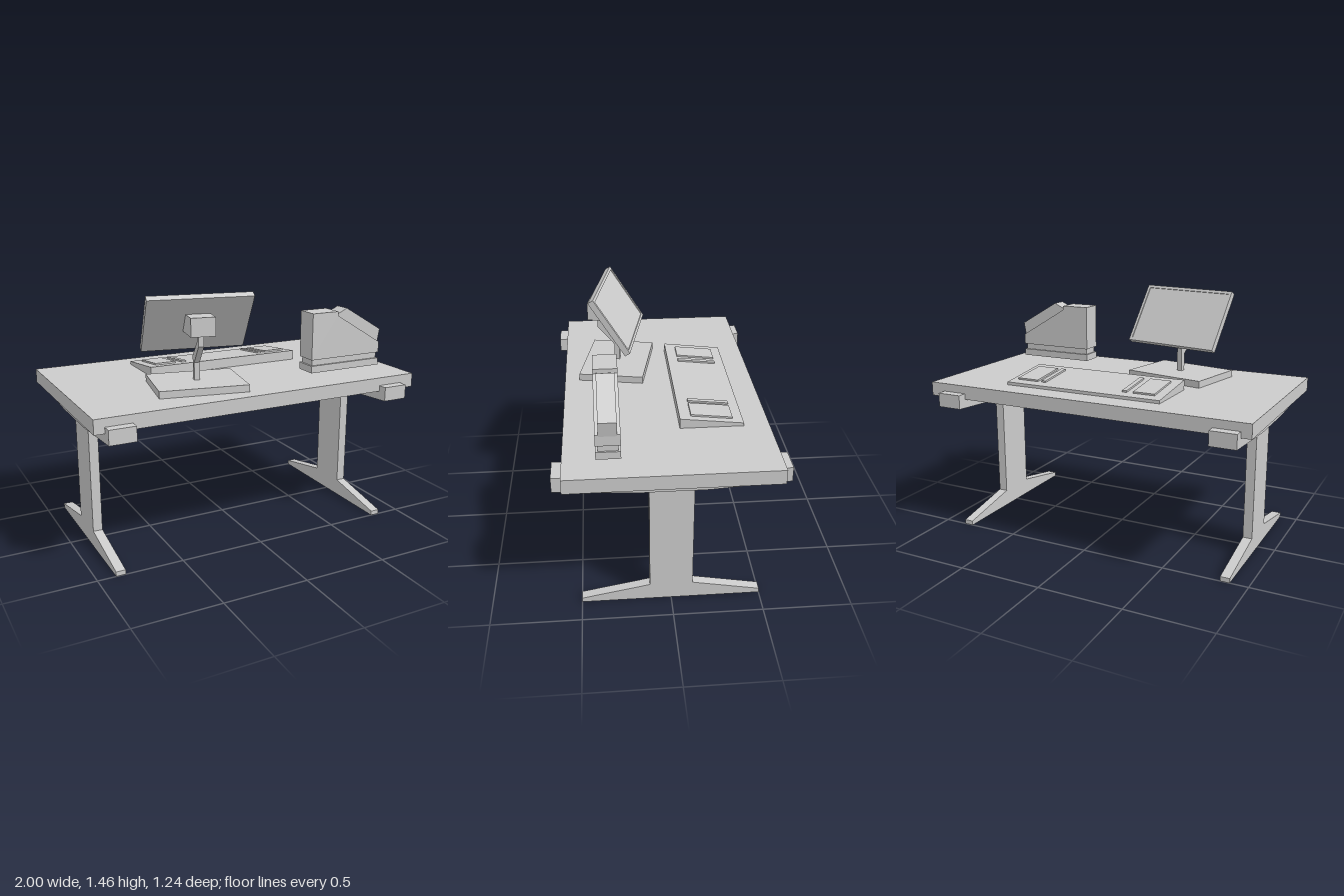
import * as THREE from 'three';

const mat = new THREE.MeshStandardMaterial({ color: 0xcccccc, flatShading: true });

function add(parent, name, geo, x = 0, y = 0, z = 0) {
  const mesh = new THREE.Mesh(geo, mat);
  mesh.name = name;
  mesh.position.set(x, y, z);
  parent.add(mesh);
  return mesh;
}

// Box given by its min/max along each axis
function box(parent, name, [x0, x1], [y0, y1], [z0, z1]) {
  return add(parent, name, new THREE.BoxGeometry(x1 - x0, y1 - y0, z1 - z0),
    (x0 + x1) / 2, (y0 + y1) / 2, (z0 + z1) / 2);
}

// Outline in (x, y), extruded along z and centred there
function slab(points, depth, hole) {
  const shape = new THREE.Shape(points.map(p => new THREE.Vector2(...p)));
  if (hole) shape.holes.push(new THREE.Path(hole.map(p => new THREE.Vector2(...p))));
  return new THREE.ExtrudeGeometry(shape, { depth, bevelEnabled: false }).translate(0, 0, -depth / 2);
}

// Outline in (z, y), extruded along x and centred there
const sideProfile = (points, width) => slab(points, width).rotateY(-Math.PI / 2);

// Mirror a half outline across z = 0
const mirrored = half => [...half, ...half.map(([z, y]) => [-z, y]).reverse()];

const rect = (w, h) => [[-w / 2, -h / 2], [w / 2, -h / 2], [w / 2, h / 2], [-w / 2, h / 2]];

function makeDesk() {
  const desk = new THREE.Group();
  desk.name = 'desk';
  box(desk, 'desktop', [-1, 1], [0.84, 0.922], [-0.565, 0.565]);
  const support = mirrored([[0.62, 0.875], [0.62, 0.792], [0.19, 0.762]]);
  const leg = mirrored([[0.12, 0.78], [0.12, 0.1], [0.5, 0.027], [0.5, 0]]);
  for (const [side, x] of [['right', -0.867], ['left', 0.833]]) {
    add(desk, side + 'Support', sideProfile(support, 0.15), x);
    add(desk, side + 'Leg', sideProfile(leg, 0.055), x);
  }
  return desk;
}

function makeKeyboard() {
  const keyboard = new THREE.Group();
  keyboard.name = 'keyboard';
  const body = [[-0.07, 0.922], [-0.07, 0.98], [-0.422, 0.94], [-0.422, 0.922]];
  add(keyboard, 'keyboardBody', sideProfile(body, 0.985), 0.057);
  // raised pads and strips lying on the slope
  for (const [x, w] of [[-0.315, 0.13], [-0.195, 0.028], [0.335, 0.028], [0.442, 0.135]]) {
    add(keyboard, 'keyPad', new THREE.BoxGeometry(w, 0.02, 0.232), x, 0.96, -0.248)
      .rotation.x = -Math.atan(0.04 / 0.352);
  }
  return keyboard;
}

function makeMonitor() {
  const monitor = new THREE.Group();
  monitor.name = 'monitor';
  monitor.position.set(-0.285, 0, 0.24);
  monitor.rotation.y = -0.19;
  box(monitor, 'monitorBase', [-0.255, 0.255], [0.922, 0.963], [-0.193, 0.193]);

  // cranked stand and the housing behind the screen
  const stand = [[-0.018, 0.95], [0.015, 0.95], [0.015, 1.065], [0.115, 1.175],
    [0.115, 1.25], [0.08, 1.25], [0.08, 1.195], [-0.018, 1.1]];
  add(monitor, 'monitorStand', sideProfile(stand, 0.032));
  const housing = [[0.165, 1.24], [0.165, 1.345], [0.04, 1.345], [-0.028, 1.24]];
  add(monitor, 'monitorHousing', sideProfile(housing, 0.14));

  // tilted panel, screen towards the keyboard
  const panel = new THREE.Group();
  panel.name = 'monitorPanel';
  panel.position.set(0.005, 1.29, -0.008);
  panel.rotation.x = 0.58;
  add(panel, 'panelFrame', slab(rect(0.6, 0.382), 0.036, rect(0.565, 0.347).reverse()));
  add(panel, 'screen', new THREE.BoxGeometry(0.565, 0.347, 0.031), 0, 0, 0.0025);
  monitor.add(panel);
  return monitor;
}

function makeDevice() {
  const device = new THREE.Group();
  device.name = 'deskDevice';
  device.position.z = 0.325;
  box(device, 'deviceBase', [0.39, 0.872], [0.952, 0.994], [-0.065, 0.065]);
  box(device, 'deviceNeck', [0.4, 0.862], [0.994, 1.03], [-0.053, 0.053]);
  // upright body with a sloping front and a slab resting on the slope
  const body = [[0.39, 1.03], [0.872, 1.03], [0.872, 1.095], [0.565, 1.28], [0.565, 1.305], [0.39, 1.305]];
  add(device, 'deviceBody', slab(body, 0.13));
  const top = [[0.555, 1.275], [0.872, 1.085], [0.887, 1.17], [0.637, 1.317], [0.565, 1.283]];
  add(device, 'deviceTop', slab(top, 0.095));
  return device;
}

export function createModel() {
  const model = new THREE.Group();
  model.name = 'workstationDesk';
  model.add(makeDesk(), makeKeyboard(), makeMonitor(), makeDevice());
  return model;
}
